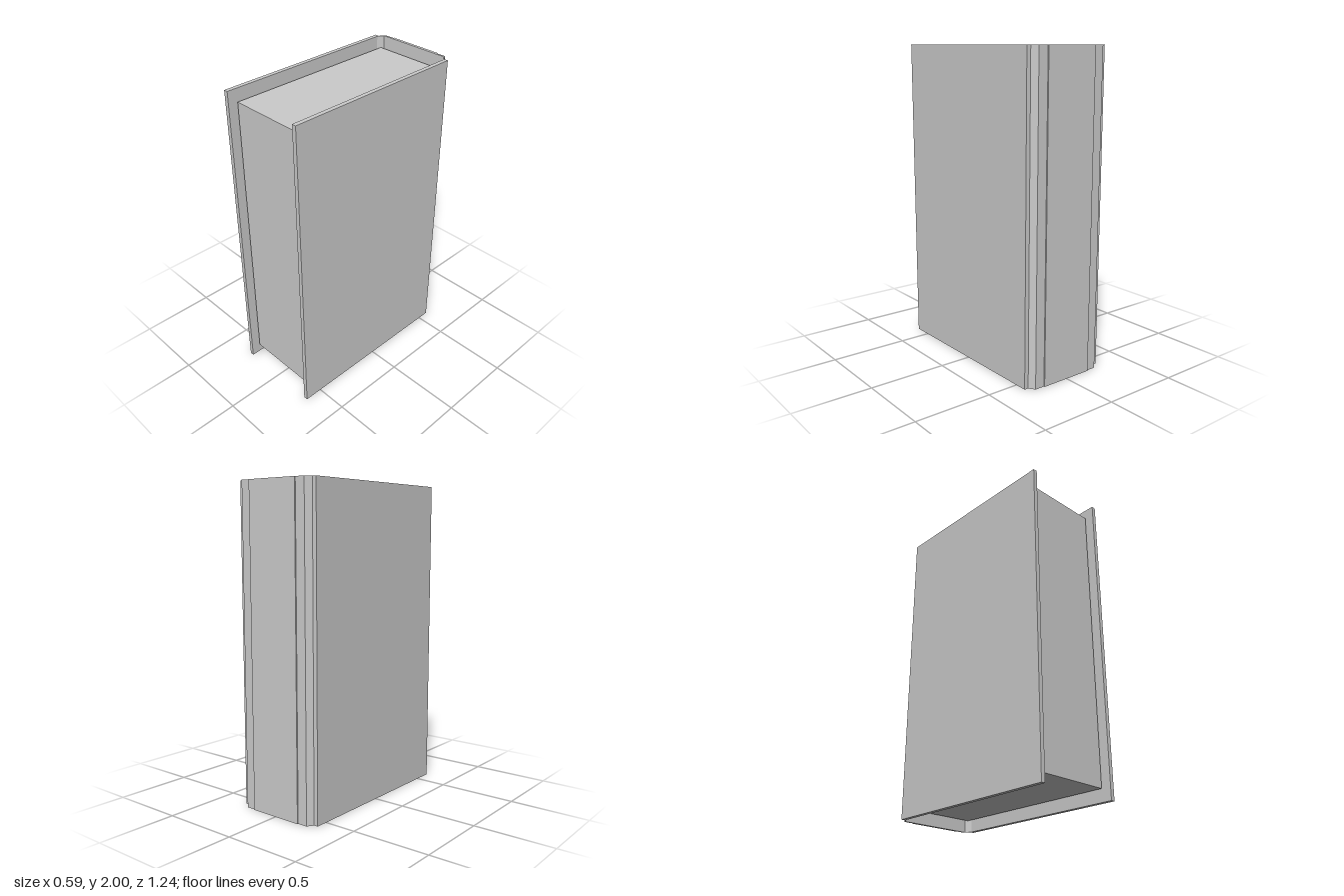
import * as THREE from 'three';

const HEIGHT = 2;

export function createModel() {
  const book = new THREE.Group();
  book.name = 'book';
  const material = new THREE.MeshStandardMaterial({ color: 0xcccccc, flatShading: true });

  function add(name, geometry) {
    const mesh = new THREE.Mesh(geometry, material);
    mesh.name = name;
    book.add(mesh);
    return mesh;
  }

  // Box given by its extents on each axis
  function addBox(name, [x0, x1], [y0, y1], [z0, z1]) {
    add(name, new THREE.BoxGeometry(x1 - x0, y1 - y0, z1 - z0))
      .position.set((x0 + x1) / 2, (y0 + y1) / 2, (z0 + z1) / 2);
  }

  // Page block, set in from the cover edges
  addBox('pages', [-0.253, 0.253], [0.075, 1.925], [-0.585, 0.567]);

  // Two cover boards
  addBox('leftCover', [0.268, 0.295], [0, HEIGHT], [-0.578, 0.619]);
  addBox('rightCover', [-0.295, -0.268], [0, HEIGHT], [-0.578, 0.619]);

  // Spine with slanted hinges: half outline as [x, distance behind centre], mirrored
  const outer = [[0.268, 0.578], [0.243, 0.617]];
  const inner = [[0.245, 0.604], [0.268, 0.565]];
  const mirrored = (points) => points.map(([x, d]) => [-x, d]).reverse();
  const outline = [...outer, ...mirrored(outer), ...mirrored(inner), ...inner];
  const shape = new THREE.Shape(outline.map(([x, d]) => new THREE.Vector2(x, d)));
  const spine = new THREE.ExtrudeGeometry(shape, { depth: HEIGHT, bevelEnabled: false });
  spine.rotateX(-Math.PI / 2);
  add('spine', spine);

  // Raised strip down the back of the spine
  addBox('spineStrip', [-0.178, 0.178], [0, HEIGHT], [-0.624, -0.616]);

  return book;
}
